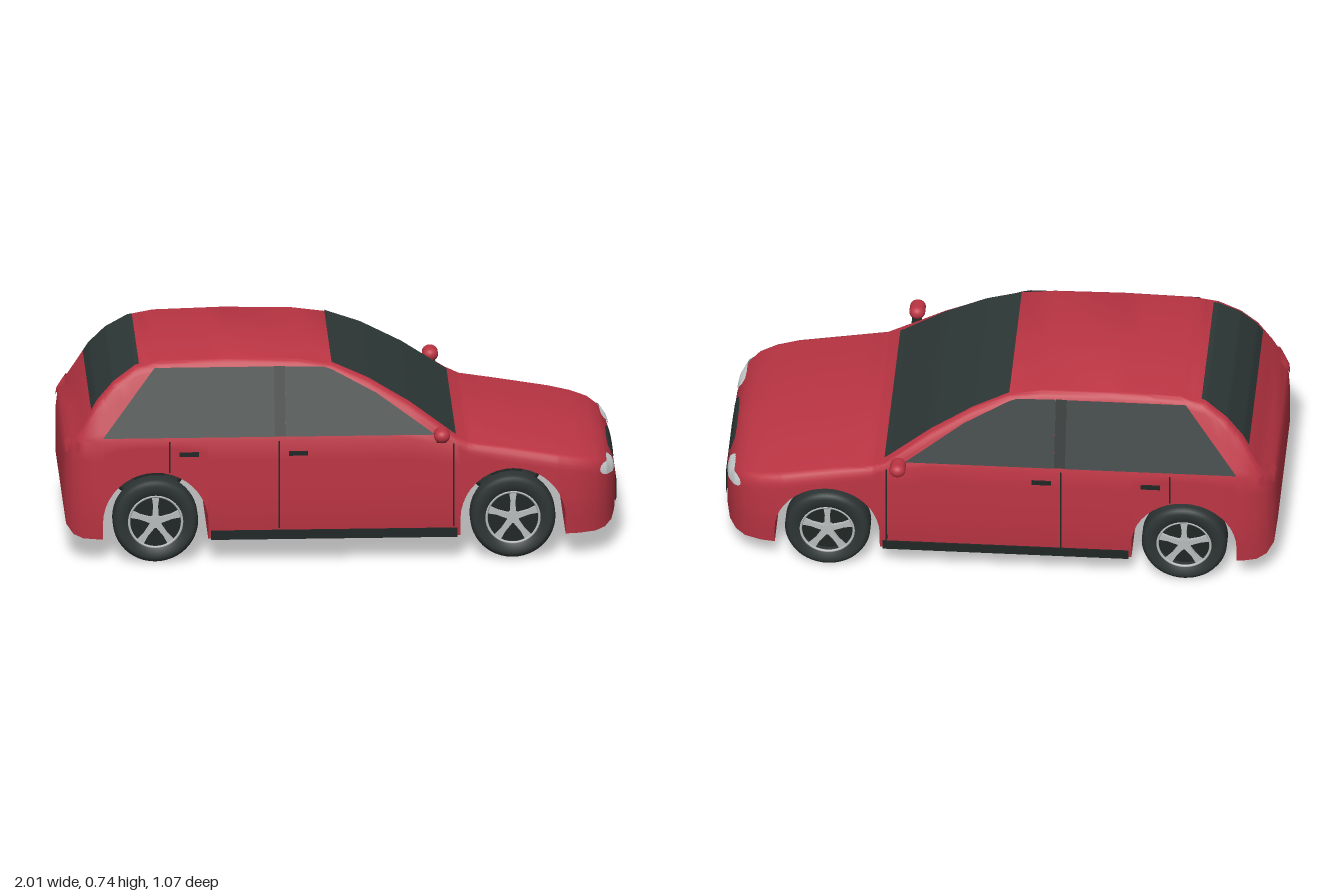
import * as THREE from 'three';
import { toCreasedNormals } from 'three/addons/utils/BufferGeometryUtils.js';

const mat = (name, color) => Object.assign(
  new THREE.MeshStandardMaterial({ color, side: THREE.DoubleSide }), { name });

// Body stations: x, top height, half width, edge radius, bottom height
const ROWS = [
  [-1, .38, .30, .03, .2], [-.99, .43, .355, .03, .13], [-.965, .455, .39, .03, .1],
  [-.93, .505, .415, .03, .09], [-.88, .59, .43, .03, .09], [-.82, .655, .437, .03, .09],
  [-.74, .708, .437, .03, .09], [-.65, .728, .437, .03, .09], [-.4, .736, .437, .03, .09],
  [-.15, .73, .437, .03, .09], [-.03, .712, .437, .03, .09], [.1, .66, .437, .03, .09],
  [.25, .575, .437, .03, .09], [.41, .462, .437, .03, .09], [.46, .44, .437, .04, .09],
  [.6, .42, .437, .05, .09], [.78, .39, .437, .05, .09], [.86, .375, .425, .05, .09],
  [.92, .36, .40, .05, .09], [.955, .342, .365, .05, .095], [.98, .315, .32, .05, .11],
  [.993, .28, .25, .04, .13], [1, .24, .17, .03, .16],
];
const AXLES = [-.67, .62], AXLE_Y = .155, ARCH = .19, BELT = .46;

function station(x) {
  let i = 0;
  while (i < ROWS.length - 2 && x > ROWS[i + 1][0]) i++;
  const a = ROWS[i], b = ROWS[i + 1], t = (x - a[0]) / (b[0] - a[0]);
  const [, top, width, radius, bottom] = a.map((v, k) => v + (b[k] - v) * t);
  return { top, width, radius, bottom };
}

// Sides lean in above the belt line and tuck in slightly at the sill
const lean = y => y > BELT ? 1 - (y - BELT) / .26 * .25 : 1 - Math.max(0, .2 - y) * .27;

function halfWidth(x, y) {
  const s = station(x);
  const d = Math.min(1, Math.max(0, (y - s.top + s.radius) / s.radius));
  return s.width * lean(y) - s.radius * .6 * (1 - Math.sqrt(1 - d * d));
}

function ring(x, bottom) {
  const s = station(x), edge = s.top - s.radius, mid = Math.min(BELT, edge);
  const half = [[0, bottom]];
  for (let i = 0; i <= 5; i++) half.push(bottom + (mid - bottom) * i / 5);
  for (let i = 1; i <= 4; i++) half.push(mid + (edge - mid) * i / 4);
  for (let i = 1; i <= 5; i++) half.push(edge + s.radius * Math.sin(i / 5 * Math.PI / 2));
  const pts = half.map(h => Array.isArray(h) ? h : [halfWidth(x, h), h]);
  pts.push([0, s.top]);
  const mirrored = pts.slice(1, -1).reverse().map(([z, y]) => [-z, y]);
  return [...pts, ...mirrored].map(([z, y]) => [x, y, z]);
}

// Lofted shell with wheel arches cut right across the underside
function bodyGeometry() {
  const stops = ROWS.map(([x, , , , base]) => {
    const c = AXLES.find(a => Math.abs(x - a) < ARCH);
    return [x, c === undefined ? base : AXLE_Y + Math.sqrt(ARCH ** 2 - (x - c) ** 2)];
  });
  for (const c of AXLES) {
    stops.push([c - ARCH, .09]);
    for (let i = 0; i <= 20; i++) {
      const a = i / 20 * Math.PI;
      stops.push([c - ARCH * Math.cos(a), AXLE_Y + ARCH * Math.sin(a)]);
    }
    stops.push([c + ARCH, .09]);
  }
  stops.sort((a, b) => a[0] - b[0]);
  const rings = stops.map(([x, y]) => ring(x, y)), n = rings[0].length;
  const pos = rings.flat(2), idx = [];
  for (let i = 0; i < rings.length - 1; i++) for (let j = 0; j < n; j++) {
    const k = (j + 1) % n, a = i * n + j, c = i * n + k;
    idx.push(a, a + n, c, a + n, c + n, c);
  }
  const last = (rings.length - 1) * n;
  for (let j = 1; j < n - 1; j++) idx.push(0, j, j + 1, last, last + j + 1, last + j);
  return toCreasedNormals(sheet(pos, idx), .6);
}

function sheet(pos, idx) {
  const g = new THREE.BufferGeometry();
  g.setAttribute('position', new THREE.Float32BufferAttribute(pos, 3));
  g.setIndex(idx);
  g.computeVertexNormals();
  return g;
}

// Curved sheet from a rule f(u, v) -> [x, y, z], with u and v from 0 to 1
function grid(nu, nv, f) {
  const pos = [], idx = [];
  for (let i = 0; i <= nu; i++) for (let j = 0; j <= nv; j++) {
    pos.push(...f(i / nu, j / nv));
    if (i < nu && j < nv) {
      const a = i * (nv + 1) + j, b = a + nv + 1;
      idx.push(a, a + 1, b, b, a + 1, b + 1);
    }
  }
  return sheet(pos, idx);
}

// Outermost x of the shell at (y, z), at the front (dir 1) or rear (dir -1)
function endX(dir, y, z) {
  for (let x = 1; x > .6; x -= .001) {
    const s = station(dir * x);
    if (y <= s.top && y >= s.bottom && Math.abs(z) <= halfWidth(dir * x, y)) return dir * x;
  }
  return dir * .6;
}

// Rounded plate that follows the nose or tail
function endPlate(dir, z0, z1, y0, y1) {
  const h = (y1 - y0) / 2, w = (z1 - z0) / 2;
  return grid(32, 6, (u, v) => {
    const t = -Math.cos(u * Math.PI), z = (z0 + z1) / 2 + t * w;
    const y = (y0 + y1) / 2 + (v * 2 - 1) * h * Math.pow(1 - Math.pow(Math.abs(t), 5), .5);
    return [endX(dir, y, z) + dir * .006, y, z];
  });
}

// Glass that follows the top line between two x positions
const topGlass = (x0, x1, w0, w1) => grid(40, 2, (u, v) => {
  const x = x0 + (x1 - x0) * u;
  return [x, station(x).top + .005, (v * 2 - 1) * (w0 + (w1 - w0) * u)];
});

// Flat plate laid on the leaning side of the cabin
function sideGlass(points, side, lift) {
  const g = new THREE.ShapeGeometry(new THREE.Shape(points.map(p => new THREE.Vector2(...p))));
  const p = g.attributes.position;
  for (let i = 0; i < p.count; i++) p.setZ(i, side * (.437 * lean(p.getY(i)) + lift));
  g.computeVertexNormals();
  return g;
}

export function createModel() {
  const car = new THREE.Group();
  car.name = 'car';
  const red = mat('body red', 0xbd3544), glass = mat('dark glass', 0x2d3836);
  const black = mat('black trim', 0x1f2725), tyre = mat('tyre rubber', 0x2d3534);
  const lamp = mat('lamp white', 0xd6dada), alloy = mat('alloy grey', 0xb9bcbc);
  const add = (name, geo, m, parent = car) => {
    const mesh = new THREE.Mesh(geo, m);
    mesh.name = name;
    parent.add(mesh);
    return mesh;
  };
  const box = (name, m, w, h, d, x, y, z, parent) =>
    add(name, new THREE.BoxGeometry(w, h, d), m, parent).position.set(x, y, z);

  add('body', bodyGeometry(), red);
  add('windshield', topGlass(-.03, .415, .312, .395), glass);
  add('rearWindow', topGlass(-.9, -.725, .355, .30), glass);
  add('grille', endPlate(1, -.16, .16, .285, .327), glass);
  add('lowerIntake', endPlate(1, -.245, .245, .135, .202), glass);

  // Wheel profiles: tyre with rounded shoulders, dished rim behind the spokes
  const tyreGeo = new THREE.LatheGeometry([[.098, -.05], [.135, -.05], [.148, -.043], [.154, -.028],
    [.154, .028], [.148, .043], [.135, .05], [.1, .046], [.098, .03], [.098, -.05]]
    .map(p => new THREE.Vector2(...p)), 48).rotateX(Math.PI / 2);
  const spoke = new THREE.ExtrudeGeometry(new THREE.Shape([[-.012, 0], [.012, 0], [.009, .06],
    [.014, .096], [-.014, .096], [-.009, .06]].map(p => new THREE.Vector2(...p))),
  { depth: .012, bevelEnabled: false });

  for (const side of [1, -1]) {
    const s = side > 0 ? 'left' : 'right';
    const label = side > 0 ? 'right' : 'left'; // nose points along +x
    add(label + 'RearSideWindow', sideGlass(
      [[-.86, .475], [-.24, .475], [-.24, .71], [-.67, .71]], side, .005), glass);
    add(label + 'FrontSideWindow', sideGlass(
      [[-.2, .475], [.34, .475], [.13, .617], [-.03, .698], [-.06, .708], [-.2, .71]], side, .005), glass);
    add(label + 'DoorPillar', sideGlass(
      [[-.24, .475], [-.2, .475], [-.2, .71], [-.24, .71]], side, .003), black);
    box(label + 'Sill', black, .89, .034, .02, -.025, .104, side * .423);
    for (const [x, y0, y1] of [[-.225, .13, .46], [-.62, .345, .46], [.405, .13, .44]])
      box(label + 'DoorSeam', black, .005, y1 - y0, .008, x, (y0 + y1) / 2, side * .4345);
    for (const x of [-.55, -.155])
      box(label + 'DoorHandle', black, .07, .016, .014, x, .413, side * .437);

    // Lamps
    const z = (a, b) => side > 0 ? [a, b] : [-b, -a];
    add(label + 'Headlight', endPlate(1, ...z(.215, .388), .293, .34), lamp);
    add(label + 'TailLight', endPlate(-1, ...z(.3, .412), .405, .465), red);

    // Mirror
    const shell = add(label + 'Mirror', new THREE.CapsuleGeometry(.025, .036, 8, 20), red);
    shell.rotation.x = Math.PI / 2;
    shell.scale.x = 1.15;
    shell.position.set(.36, .492, side * .493);
    box(label + 'MirrorStalk', black, .035, .016, .06, .36, .466, side * .45);

    for (const x of AXLES) {
      const wheel = new THREE.Group();
      wheel.name = label + (x > 0 ? 'FrontWheel' : 'RearWheel');
      wheel.position.set(x, AXLE_Y, side * .38);
      if (side < 0) wheel.rotation.y = Math.PI;
      car.add(wheel);
      add('tyre', tyreGeo, tyre, wheel);
      add('rimDish', new THREE.CylinderGeometry(.099, .099, .03, 40).rotateX(Math.PI / 2), black, wheel);
      add('rimRing', new THREE.TorusGeometry(.096, .005, 8, 48), alloy, wheel).position.z = .042;
      add('hub', new THREE.CylinderGeometry(.022, .022, .022, 24).rotateX(Math.PI / 2), alloy, wheel).position.z = .034;
      for (let i = 0; i < 5; i++) {
        const arm = add('spoke', spoke, alloy, wheel);
        arm.position.z = .03;
        arm.rotation.z = i * Math.PI * 2 / 5;
      }
    }
  }
  return car;
}
